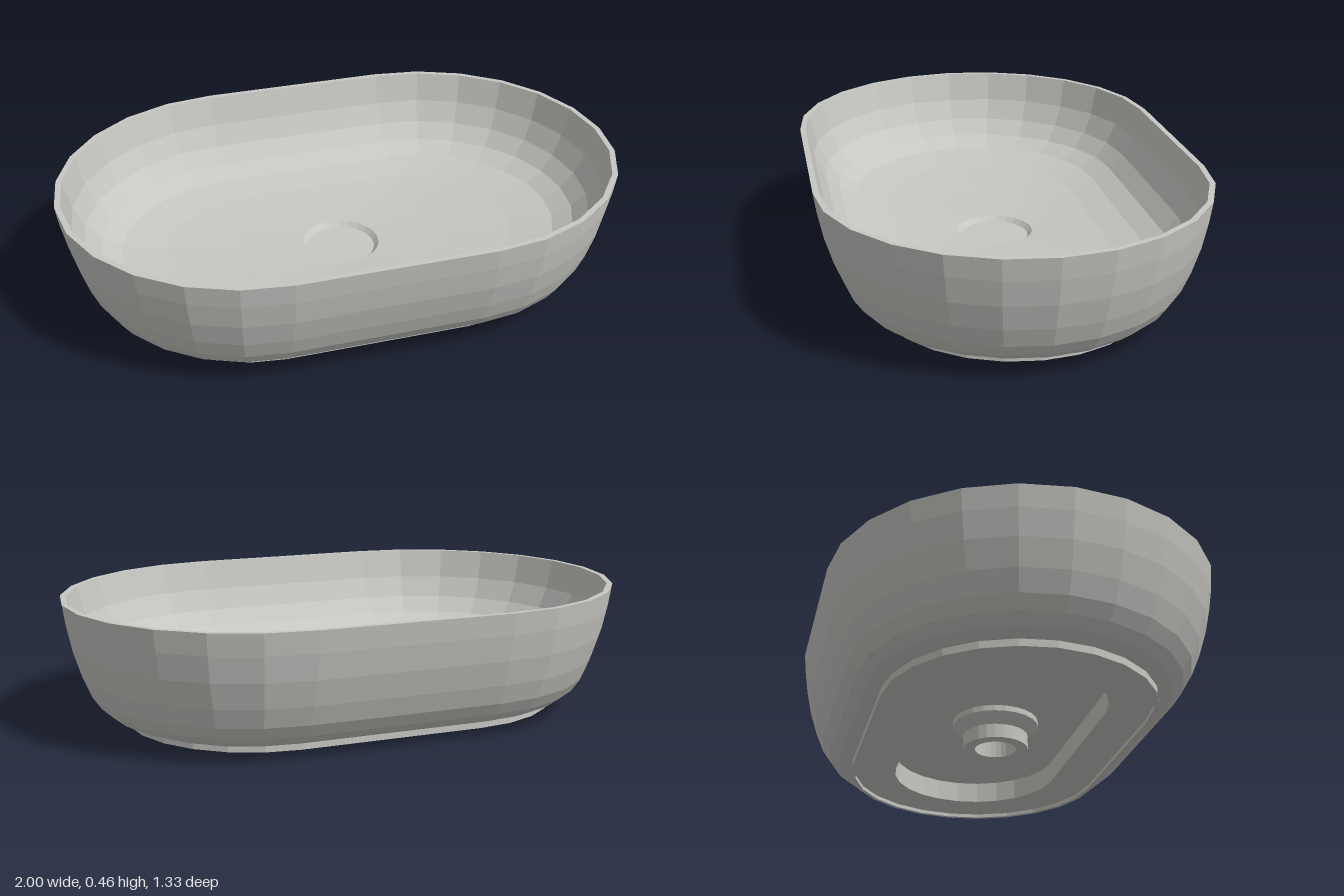
import * as THREE from 'three';

const END_STEPS = 12;   // facets around each rounded end
const HALF = 0.335;     // half length of the straight sides

// Stadium outline: radius r, straight half length s
function outline(r, y, s) {
  const pts = [];
  for (const [side, start] of [[1, -Math.PI / 2], [-1, Math.PI / 2]]) {
    for (let i = 0; i <= END_STEPS; i++) {
      const a = start + (i / END_STEPS) * Math.PI;
      pts.push([side * s + r * Math.cos(a), y, r * Math.sin(a)]);
    }
  }
  return pts;
}

// Faceted skin through a profile of [radius, height, straight half length]
function loft(name, profile, material, s = HALF) {
  const rings = profile.map(([r, y, len = s]) => outline(r, y, len));
  const pos = [];
  for (let i = 0; i + 1 < rings.length; i++) {
    const n = rings[i].length;
    for (let j = 0; j < n; j++) {
      const k = (j + 1) % n;
      const a = rings[i][j], b = rings[i][k], c = rings[i + 1][j], d = rings[i + 1][k];
      pos.push(...a, ...b, ...c, ...b, ...d, ...c);
    }
  }
  const geo = new THREE.BufferGeometry();
  geo.setAttribute('position', new THREE.Float32BufferAttribute(pos, 3));
  geo.computeVertexNormals();
  const mesh = new THREE.Mesh(geo, material);
  mesh.name = name;
  return mesh;
}

export function createModel() {
  const ceramic = new THREE.MeshStandardMaterial({ color: 0xc6c6c2 });
  ceramic.name = 'light grey ceramic';

  const group = new THREE.Group();
  group.name = 'washBasin';

  // Inside: gently sloping floor that turns up into the wall
  group.add(loft('innerBowl', [
    [0.138, 0.137, 0], [0.24, 0.147, 0.14], [0.36, 0.163, 0.27], [0.46, 0.185],
    [0.53, 0.22], [0.58, 0.275], [0.618, 0.35], [0.645, 0.455],
  ], ceramic));

  // Flat rim
  group.add(loft('rim', [[0.645, 0.455], [0.665, 0.455]], ceramic));

  // Outside wall, curving under to the foot
  group.add(loft('outerBowl', [
    [0.665, 0.455], [0.654, 0.38], [0.635, 0.29], [0.607, 0.2], [0.578, 0.13],
    [0.547, 0.085], [0.51, 0.055], [0.475, 0.04], [0.455, 0.04],
  ], ceramic));

  // Foot: narrow lip, underside and stadium-shaped recess
  group.add(loft('foot', [
    [0.465, 0.04], [0.465, 0.015], [0.45, 0.015], [0.45, 0.028],
    [0.3, 0.028], [0.3, 0.105], [0.14, 0.105, 0],
  ], ceramic, 0.325));

  // Drain: shallow seat with cover above, stepped outlet below
  group.add(loft('drainCover', [[0, 0.12], [0.122, 0.12], [0.138, 0.137]], ceramic, 0));
  group.add(loft('drainOutlet', [
    [0.152, 0.105], [0.152, 0.085], [0.115, 0.05], [0.115, 0],
    [0.073, 0], [0.073, 0.1], [0, 0.1],
  ], ceramic, 0));

  return group;
}
